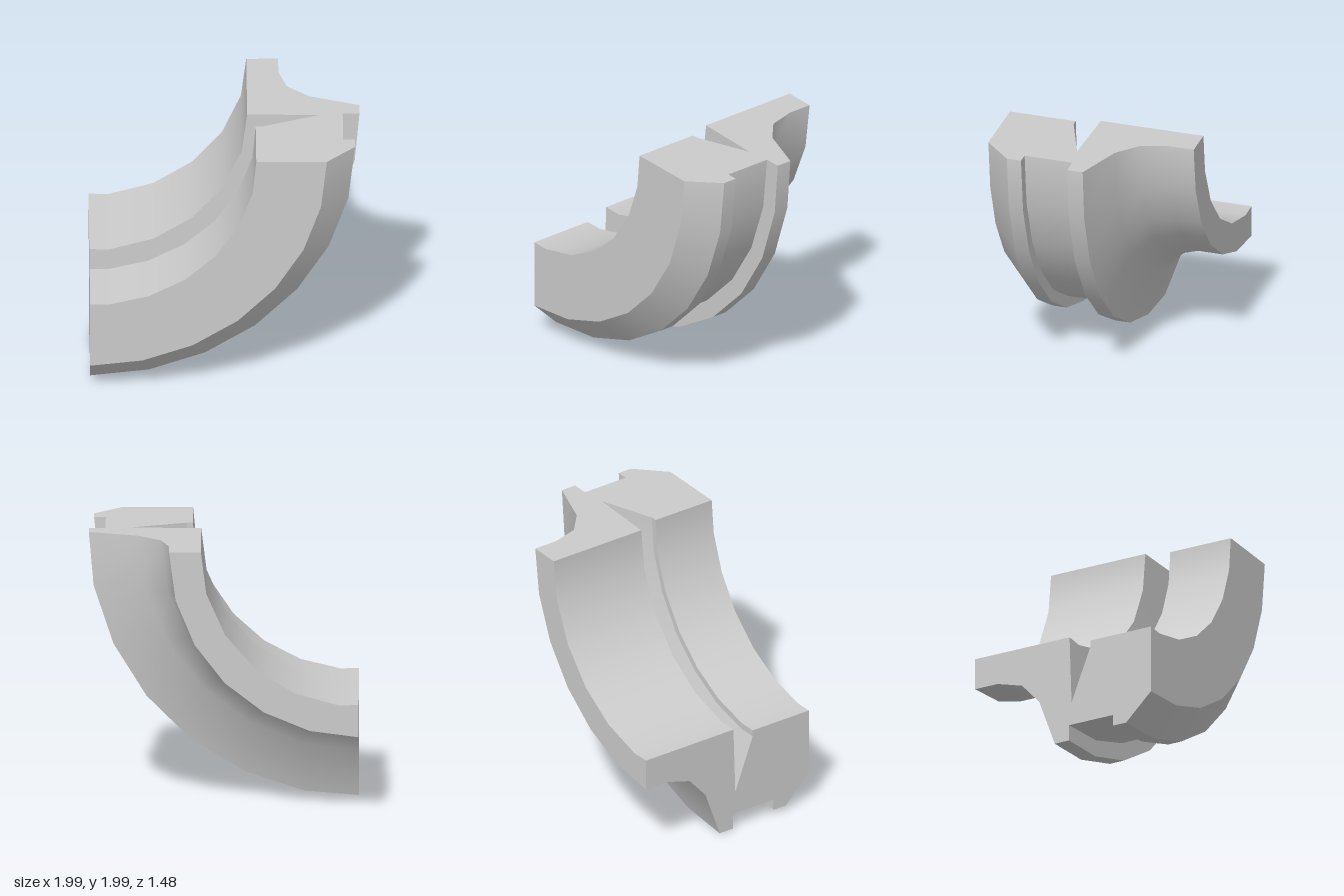
import * as THREE from 'three';
import { mergeGeometries } from 'three/addons/utils/BufferGeometryUtils.js';

// Facet patterns of the concentric rings: [first corner, step] in degrees
const INNER = [7.2, 16.8], FRONT = [6.4, 14.2], EVEN = [0, 90 / 7], RIM = [11.67, 13.33], NECK = [0, 15];

// Cross-section, counter-clockwise: [radius, z, facet pattern, smooth corner]
const PROFILE = [
  [1.168, -0.74, INNER], [1.4, -0.74, NECK],
  [1.4, -0.55, NECK, true], [1.46, -0.345, NECK, true], [1.625, -0.2, NECK, true], // curved neck
  [2.0, -0.07, RIM], [2.0, 0.05, RIM],                                              // rim
  [1.87, 0.05, EVEN], [1.87, 0.42, EVEN],                                           // outer groove
  [1.957, 0.42, EVEN], [1.957, 0.53, EVEN], [1.748, 0.74, EVEN],                    // front bevel
  [1.23, 0.74, FRONT], [1.23, 0.23, FRONT],
  [1.28, 0.23, FRONT], [1.69, 0.072, EVEN], [1.168, 0.055, INNER],                  // tapered inner slot
];
const CENTRE = [-1, 2];
const rad = THREE.MathUtils.degToRad;

// Radius of a faceted ring at an angle
function facetRadius([r, , [start, step]], deg) {
  const offset = THREE.MathUtils.euclideanModulo(deg - start, step) - step / 2;
  return r * Math.cos(rad(step / 2)) / Math.cos(rad(offset));
}

function place(p, deg) {
  const r = facetRadius(p, deg), a = rad(deg);
  return [CENTRE[0] + r * Math.sin(a), CENTRE[1] - r * Math.cos(a), p[1]];
}

// Every angle at which some ring has a corner
function cornerAngles() {
  const set = new Set([0, 90]);
  for (const [start, step] of [INNER, FRONT, EVEN, RIM, NECK])
    for (let a = start; a < 89.9; a += step) set.add(a);
  return [...set].sort((a, b) => a - b);
}

function makeGeometry(positions, normals, indices) {
  const g = new THREE.BufferGeometry();
  g.setAttribute('position', new THREE.Float32BufferAttribute(positions, 3));
  g.setIndex(indices);
  if (normals) g.setAttribute('normal', new THREE.Float32BufferAttribute(normals, 3));
  else g.computeVertexNormals();
  return g;
}

// Walls swept a quarter turn, one strip per profile edge
function sweptWalls() {
  const angles = cornerAngles(), n = PROFILE.length;
  const edgeNormals = PROFILE.map((p, i) => {
    const q = PROFILE[(i + 1) % n];
    return new THREE.Vector2(q[1] - p[1], p[0] - q[0]).normalize();
  });
  const cornerNormal = (corner, edge) => PROFILE[corner][3]
    ? edgeNormals[corner].clone().add(edgeNormals[(corner + n - 1) % n]).normalize()
    : edgeNormals[edge];

  return mergeGeometries(PROFILE.map((p, i) => {
    const j = (i + 1) % n, positions = [], normals = [], indices = [];
    angles.forEach((deg, k) => {
      for (const c of [i, j]) {
        const m = cornerNormal(c, i), a = rad(deg);
        positions.push(...place(PROFILE[c], deg));
        normals.push(m.x * Math.sin(a), -m.x * Math.cos(a), m.y);
      }
      if (k) {
        const a = 2 * k - 2;
        indices.push(a, a + 2, a + 1, a + 2, a + 3, a + 1);
      }
    });
    return makeGeometry(positions, normals, indices);
  }));
}

// Flat cut face at one end of the sweep
function endCap(deg, flip) {
  const points = PROFILE.map(p => new THREE.Vector2(facetRadius(p, deg), p[1]));
  const faces = THREE.ShapeUtils.triangulateShape(points, []);
  const indices = faces.flatMap(([a, b, c]) => (flip ? [a, c, b] : [a, b, c]));
  return makeGeometry(PROFILE.flatMap(p => place(p, deg)), null, indices);
}

export function createModel() {
  const group = new THREE.Group();
  group.name = 'quarterRing';
  const material = new THREE.MeshStandardMaterial({ color: 0xcccccc });
  const parts = { ringWalls: sweptWalls(), lowerCutFace: endCap(0, false), upperCutFace: endCap(90, true) };
  for (const [name, geometry] of Object.entries(parts)) {
    const mesh = new THREE.Mesh(geometry, material);
    mesh.name = name;
    group.add(mesh);
  }
  return group;
}
